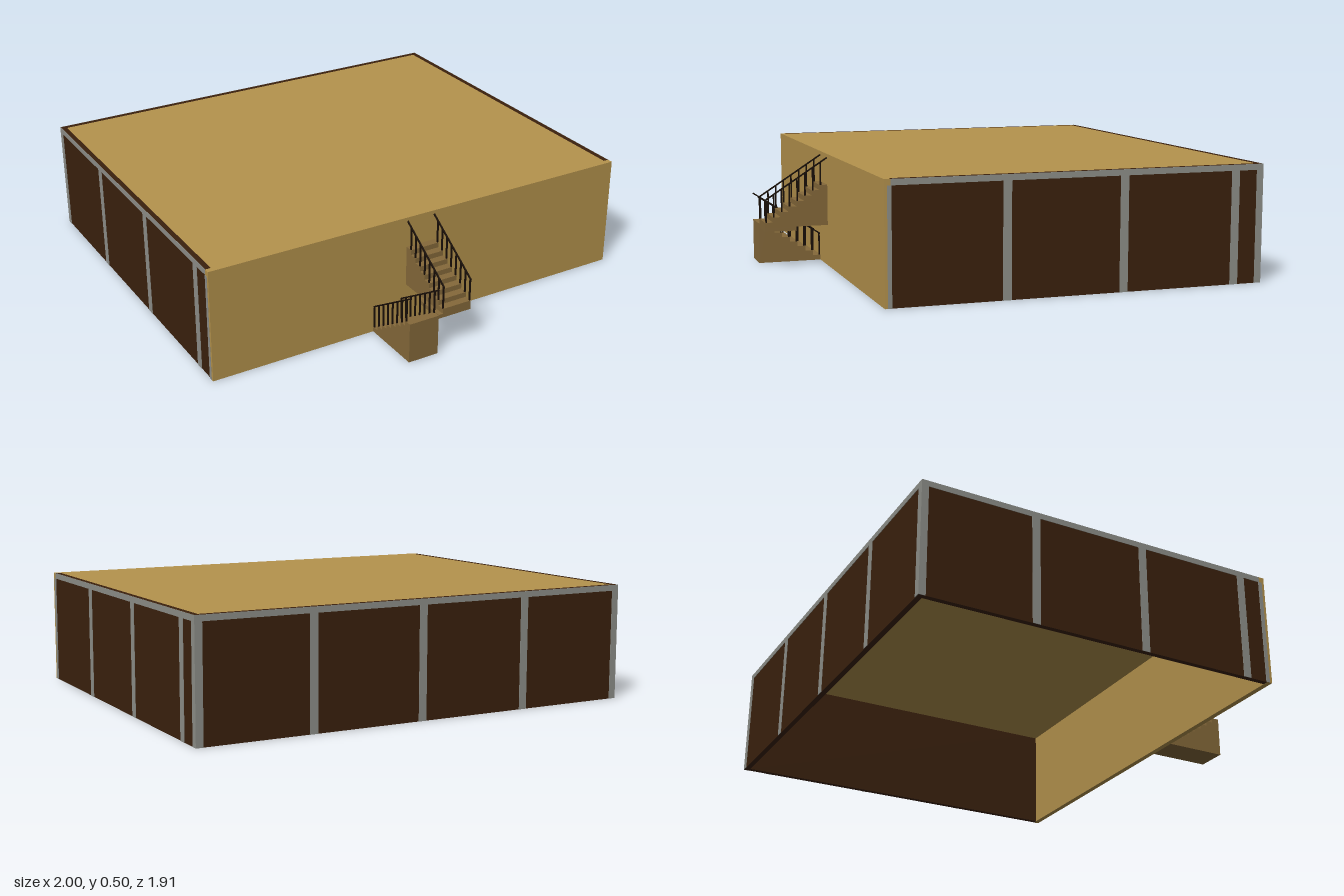
import * as THREE from 'three';

const mat = (name, color) => {
  const m = new THREE.MeshStandardMaterial({ color });
  m.name = name;
  return m;
};

export function createModel() {
  const tan = mat('plywood', 0xb5934d);
  const stairWood = mat('stair wood', 0x85693a);
  const brown = mat('dark panel', 0x3b210d);
  const grey = mat('grey trim', 0x8f908a);
  const black = mat('railing black', 0x180e06);

  const model = new THREE.Group();
  model.name = 'stagePlatform';

  // Box given by its minimum and maximum on each axis
  const box = (parent, name, material, x0, x1, y0, y1, z0, z1) => {
    const mesh = new THREE.Mesh(new THREE.BoxGeometry(x1 - x0, y1 - y0, z1 - z0), material);
    mesh.position.set((x0 + x1) / 2, (y0 + y1) / 2, (z0 + z1) / 2);
    mesh.name = name;
    parent.add(mesh);
    return mesh;
  };

  const H = 0.5, T = 0.025, front = 0.67, back = -0.955, skin = 0.002;

  // Deck and walls, open underneath
  box(model, 'deck', tan, -1 + T, 1 - T, H - T, H, back + T, front - T);
  box(model, 'frontWall', tan, -1, 1, 0, H, front - T, front);
  box(model, 'backWall', brown, -1 + skin, 1 - skin, 0, H, back + skin, back + T);
  for (const s of [-1, 1]) {
    const a = s * (1 - T), b = s * (1 - skin);
    box(model, 'sideWall', brown, Math.min(a, b), Math.max(a, b), 0, H, back + T, front - T);
  }

  // Thin grey trim: a top rail and upright strips on the sides and back
  const trim = new THREE.Group();
  trim.name = 'trim';
  model.add(trim);
  const W = 0.036, railY = H - T;
  for (const s of [-1, 1]) {
    const x0 = s > 0 ? 1 - skin : -1, x1 = x0 + skin;
    box(trim, 'sideTopRail', grey, x0, x1, railY, H, back, front - T);
    box(trim, 'backCornerStrip', grey, x0, x1, 0, railY, back, back + 0.03);
    box(trim, 'frontCornerStrip', grey, x0 - (s < 0 ? 0.001 : 0), x1 + (s > 0 ? 0.001 : 0), 0, railY, 0.641, 0.658);
    for (let i = 1; i <= 3; i++) {
      const z = s > 0 ? front - 0.5 * i + 0.002 : back + 0.5 * i;
      box(trim, 'sideStrip', grey, x0, x1, 0, railY, z - W / 2, z + W / 2);
    }
  }
  box(trim, 'backTopRail', grey, -1 + skin, 1 - skin, railY, H, back, back + skin);
  for (const x of [-0.983, -0.5, 0, 0.5, 0.983]) {
    const w = Math.abs(x) > 0.9 ? 0.015 : W / 2;
    box(trim, 'backStrip', grey, x - w, x + w, 0, railY, back, back + skin);
  }

  // Stairs: the lower flight climbs away from the wall, the upper one back to it
  const steps = 8, far = 0.95, run = (far - front) / steps, rise = 0.0225;

  const flight = (name, x0, x1, base, dir) => {
    const group = new THREE.Group();
    group.name = name;
    model.add(group);
    const start = dir > 0 ? front : far;

    // Stepped side profile in (z, y), extruded across the width
    const shape = new THREE.Shape();
    shape.moveTo(start, base);
    for (let i = 0; i < steps; i++) {
      shape.lineTo(start + dir * run * i, base + rise * (i + 1));
      shape.lineTo(start + dir * run * (i + 1), base + rise * (i + 1));
    }
    shape.lineTo(start + dir * run * steps, base);
    const geo = new THREE.ExtrudeGeometry(shape, { depth: x1 - x0, bevelEnabled: false });
    geo.rotateY(-Math.PI / 2);
    geo.translate(x1, 0, 0);
    const body = new THREE.Mesh(geo, stairWood);
    body.name = name + 'Steps';
    group.add(body);

    // Handrails with a baluster on each step
    const railBase = base + 0.12, total = rise * steps, r = 0.003;
    const length = Math.hypot(far - front, total);
    for (const x of [x0 + r, x1 - r]) {
      const rail = new THREE.Mesh(new THREE.BoxGeometry(r * 2, r * 2, length), black);
      rail.position.set(x, railBase + total / 2, (far + front) / 2);
      rail.rotation.x = -dir * Math.atan2(total, far - front);
      rail.name = 'handrail';
      group.add(rail);
      for (let i = 0; i < steps; i++) {
        const z = start + dir * run * (i + 0.15);
        box(group, 'baluster', black, x - r, x + r, base + rise * (i + 1),
          railBase + rise * (i + 0.15), z - r, z + r);
      }
    }
  };
  flight('lowerFlight', -0.25, -0.11, 0, 1);
  flight('upperFlight', -0.09, 0.047, 0.183, -1);

  // Landing slab joining the two flights
  box(model, 'landing', stairWood, -0.11, 0.047, 0.165, 0.183, 0.81, far);

  return model;
}
